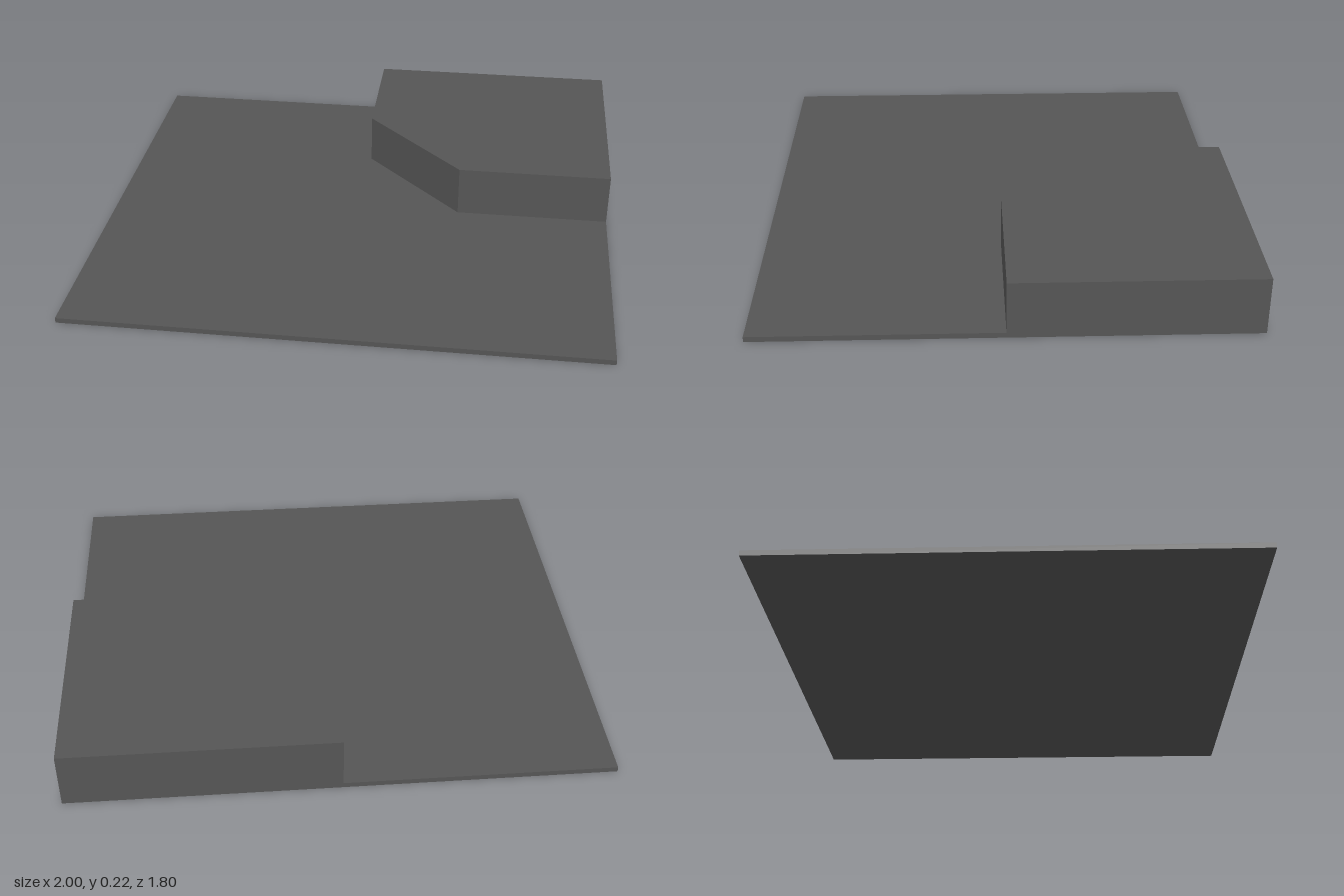
import * as THREE from 'three';

export function createModel() {
  const model = new THREE.Group();
  const darkGrey = new THREE.MeshStandardMaterial({ color: 0x555555 });
  darkGrey.name = 'dark grey';

  // Thin floor slab
  const floor = new THREE.Mesh(new THREE.BoxGeometry(2, 0.02, 1.8), darkGrey);
  floor.name = 'floorSlab';
  floor.position.y = 0.01;
  model.add(floor);

  // Raised platform in the back corner, with one corner cut off (plan points as x, -z)
  const plan = new THREE.Shape([
    [0.4, 0], [1, 0], [1, 0.9], [0, 0.9], [0, 0.4],
  ].map(([x, y]) => new THREE.Vector2(x, y)));
  const geometry = new THREE.ExtrudeGeometry(plan, { depth: 0.2, bevelEnabled: false });
  geometry.rotateX(-Math.PI / 2);
  const platform = new THREE.Mesh(geometry, darkGrey);
  platform.name = 'cornerPlatform';
  platform.position.y = 0.02;
  model.add(platform);

  return model;
}
